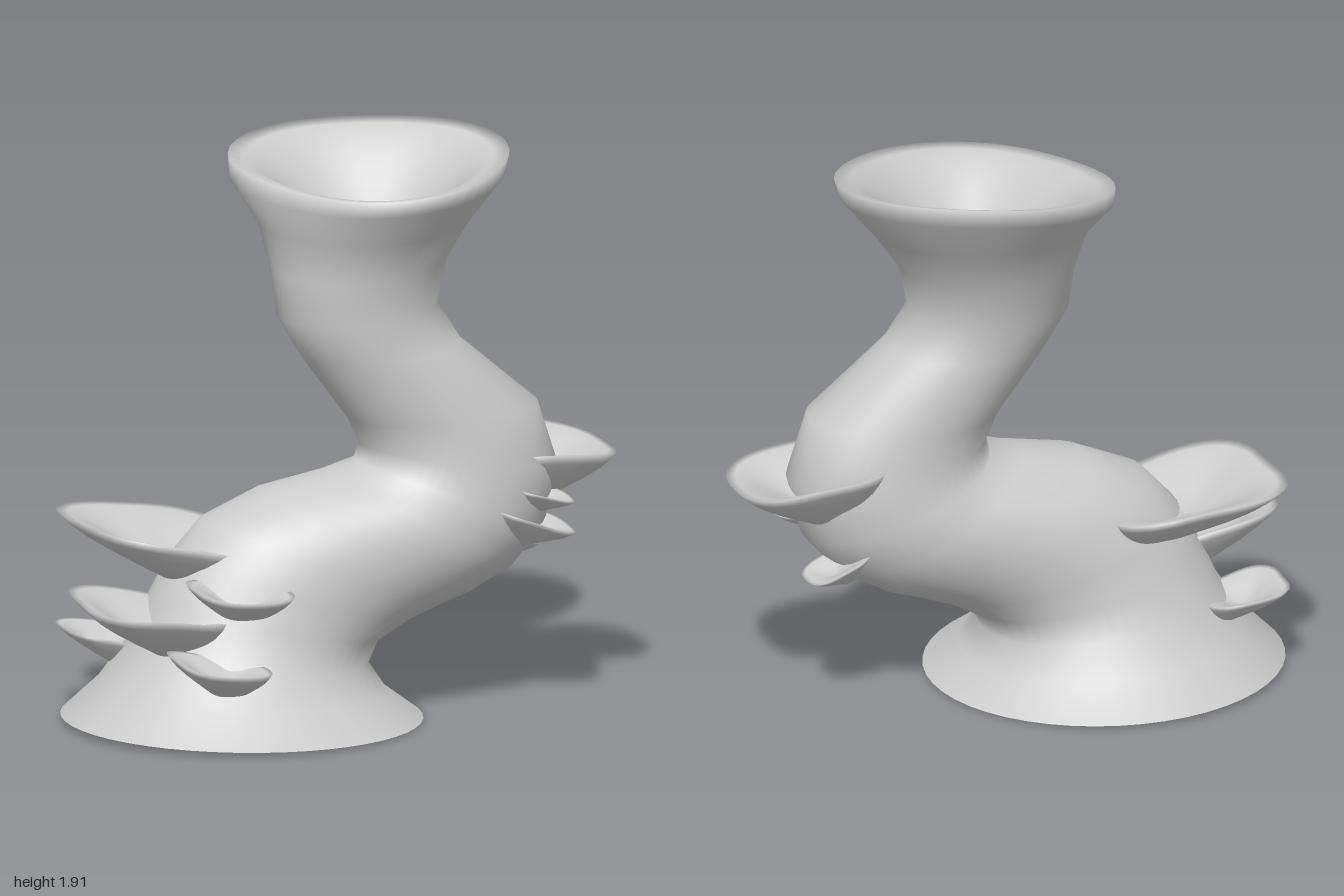
import * as THREE from 'three';

const SEG = 48;

// Skin a stack of tilted rings. Ring: centre c, half sizes a (x) and b (z),
// tilt tx / tz, saddle s turned by yaw, and an outline radius by angle.
function loft(name, rings) {
  const pos = [], idx = [];
  rings.forEach(({ c, a, b, tx, tz, s, yaw, outline }, i) => {
    for (let j = 0; j < SEG; j++) {
      const t = (j / SEG) * Math.PI * 2;
      const r = outline(t);
      pos.push(
        c[0] + a * r * Math.cos(t),
        c[1] + r * (tx * Math.cos(t) + tz * Math.sin(t)) + s * Math.cos(2 * (t - yaw)),
        c[2] + b * r * Math.sin(t)
      );
      if (i === 0) continue;
      const k = (j + 1) % SEG, p = (i - 1) * SEG, q = i * SEG;
      idx.push(p + j, q + j, p + k, p + k, q + j, q + k);
    }
  });
  const geo = new THREE.BufferGeometry();
  geo.setAttribute('position', new THREE.Float32BufferAttribute(pos, 3));
  geo.setIndex(idx);
  geo.computeVertexNormals();
  const mat = new THREE.MeshStandardMaterial({ color: 0xcccccc, side: THREE.DoubleSide });
  const mesh = new THREE.Mesh(geo, mat);
  mesh.name = name;
  return mesh;
}

// Copy of a ring, scaled by k about a new centre
const scaled = (ring, k, c) => ({
  ...ring, c, a: ring.a * k, b: ring.b * k, tx: ring.tx * k, tz: ring.tz * k, s: ring.s * k * k,
});

// Rings that sink from a rim to a rounded hollow floor
function hollow(rim, depth) {
  return Array.from({ length: 9 }, (_, i) => {
    const p = (i + 1) * 0.11;
    const [x, y, z] = rim.c;
    return scaled(rim, 1 - p, [x, y - depth * THREE.MathUtils.smoothstep(p, 0, 1), z]);
  });
}

// Trunk ring from its two side edges and half depth; the top leans back
// and its outline grows into a rounded triangle
function trunkRing([x0, y0, x1, y1, b]) {
  const y = (y0 + y1) / 2;
  const lean = Math.max(0, (y - 1) / 0.86);
  const k = 0.05 * lean ** 3;
  return {
    c: [(x0 + x1) / 2, y, -0.11 * lean ** 1.5], a: (x1 - x0) / 2, b,
    tx: (y1 - y0) / 2, tz: -0.05 * lean ** 3, s: 0, yaw: 0,
    outline: (t) => 1 - 0.3 * k + k * (Math.sin(2 * t) + Math.cos(3 * t + Math.PI / 4)),
  };
}

// Shelf fungus: a stem inside the trunk flaring to a thin squarish rim, dished on top
function shelf([name, x, y, z, a, b, tx, height]) {
  const yaw = Math.atan2(z, x - (x > 0 ? 0.4 : -0.35));
  const rim = {
    c: [x, y, z], a, b, tx, tz: -0.06 * b, s: -0.04 * a, yaw,
    outline: (t) => 1.02 - 0.06 * Math.cos(4 * t) + 0.03 * Math.cos(3 * t + x * 9),
  };
  const stem = [0, 0.25, 0.5, 0.7, 0.85, 0.95].map((t) => {
    const inward = (1 - t) * 0.6 * a;
    const drop = height * (1 - t) ** 0.65;
    const c = [x - inward * Math.cos(yaw), y - drop, z - inward * Math.sin(yaw)];
    return scaled(rim, 0.28 + 0.7 * t ** 1.4, c);
  });
  return loft(name, [...stem, rim, ...hollow(rim, height * 0.45)]);
}

export function createModel() {
  const group = new THREE.Group();

  // Winding trunk: flared open foot, S-bend, wide hollow mouth
  const trunk = [
    [-0.96, 0.02, 0.26, 0.0, 0.6],
    [-0.84, 0.14, 0.14, 0.09, 0.46],
    [-0.74, 0.28, 0.08, 0.18, 0.37],
    [-0.67, 0.43, 0.12, 0.25, 0.335],
    [-0.6, 0.56, 0.24, 0.31, 0.32],
    [-0.48, 0.69, 0.34, 0.345, 0.32],
    [-0.27, 0.78, 0.45, 0.38, 0.31],
    [-0.04, 0.82, 0.6, 0.46, 0.305],
    [0.07, 0.85, 0.72, 0.6, 0.285],
    [0.085, 0.9, 0.77, 0.8, 0.265],
    [0.04, 0.99, 0.7, 1.02, 0.25],
    [-0.12, 1.21, 0.43, 1.25, 0.23],
    [-0.2, 1.35, 0.35, 1.38, 0.235],
    [-0.21, 1.5, 0.39, 1.54, 0.265],
    [-0.24, 1.65, 0.48, 1.67, 0.325],
    [-0.31, 1.77, 0.6, 1.82, 0.435],
    [-0.3, 1.83, 0.62, 1.89, 0.455],
  ].map(trunkRing);
  group.add(loft('trunk', [...trunk, ...hollow(trunk.at(-1), 0.28)]));

  // Shelf fungi: rim centre, half sizes, tilt, height
  [
    ['leftLargeShelf', 0.73, 0.86, -0.05, 0.26, 0.27, -0.025, 0.22],
    ['leftFrontShelf', 0.61, 0.655, 0.19, 0.15, 0.14, -0.045, 0.1],
    ['leftSmallShelf', 0.66, 0.73, 0.17, 0.11, 0.1, -0.025, 0.07],
    ['leftLowShelf', 0.65, 0.54, -0.13, 0.11, 0.115, -0.045, 0.075],
    ['rightLargeShelf', -0.6, 0.645, -0.13, 0.32, 0.33, -0.055, 0.22],
    ['rightMiddleShelf', -0.74, 0.435, 0.13, 0.26, 0.24, -0.045, 0.2],
    ['rightFrontShelf', -0.46, 0.5, 0.28, 0.18, 0.16, -0.015, 0.13],
    ['rightLowShelf', -0.58, 0.28, 0.4, 0.175, 0.155, -0.03, 0.13],
    ['rightBackShelf', -0.77, 0.285, -0.22, 0.15, 0.16, -0.03, 0.12],
  ].forEach((spec) => group.add(shelf(spec)));

  return group;
}
